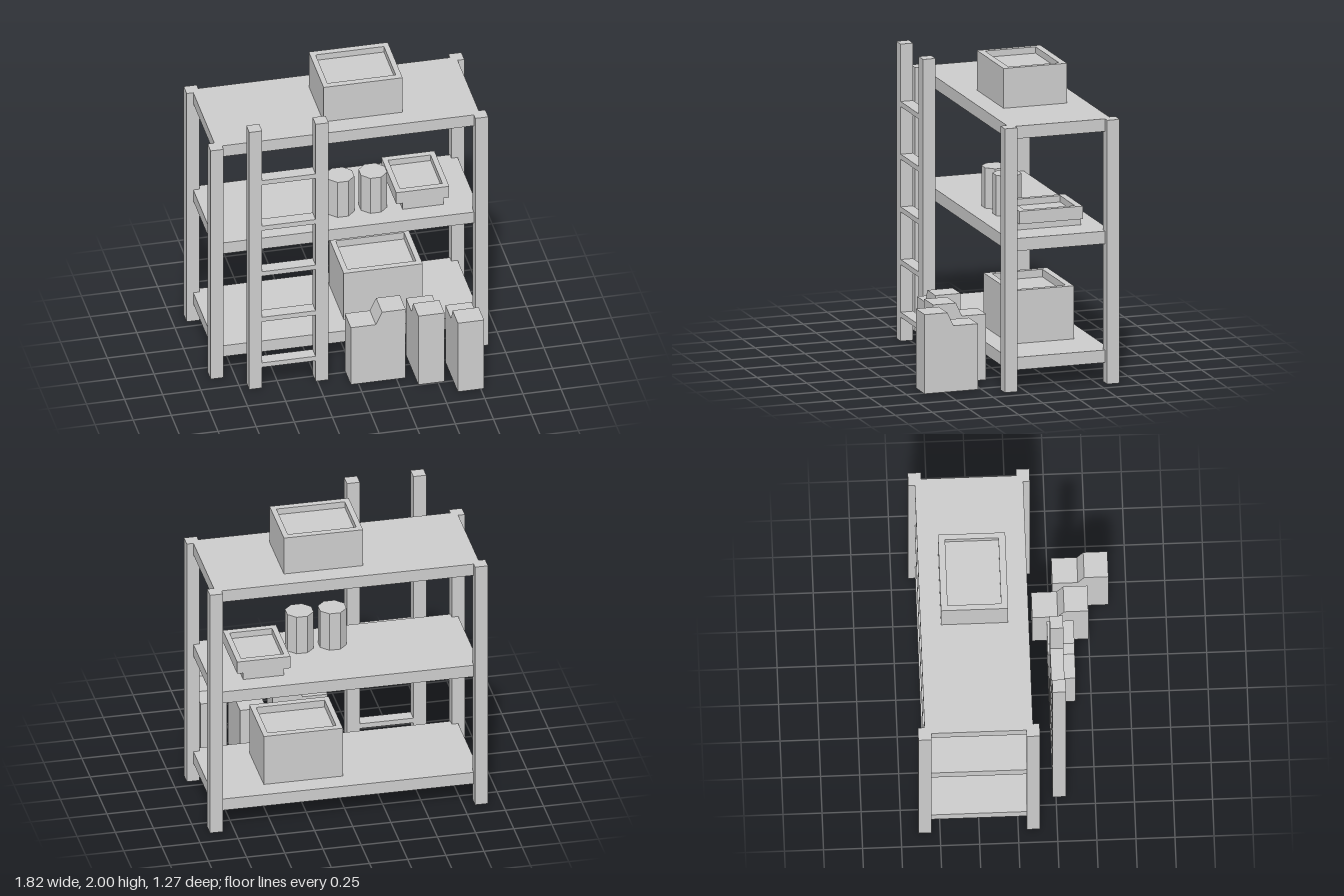
import * as THREE from 'three';

export function createModel() {
  const model = new THREE.Group();
  model.name = 'storageShelf';
  const grey = new THREE.MeshStandardMaterial({ color: 0xcccccc });
  grey.name = 'plain grey';

  function add(name, geometry, parent = model) {
    const mesh = new THREE.Mesh(geometry, grey);
    mesh.name = name;
    parent.add(mesh);
    return mesh;
  }

  // Box given by its lower and upper limits on each axis
  function block(name, [x0, x1], [y0, y1], [z0, z1], parent) {
    const mesh = add(name, new THREE.BoxGeometry(x1 - x0, y1 - y0, z1 - z0), parent);
    mesh.position.set((x0 + x1) / 2, (y0 + y1) / 2, (z0 + z1) / 2);
    return mesh;
  }

  function rectangle(Type, w, d) {
    return new Type([[-w, -d], [w, -d], [w, d], [-w, d]].map(([x, y]) => new THREE.Vector2(x / 2, y / 2)));
  }

  // Crate: solid lower body with a raised rim around a shallow recess
  function crate(name, [x0, x1], [y0, y1], [z0, z1], recess) {
    const group = new THREE.Group();
    group.name = name;
    model.add(group);
    block('crateBody', [x0, x1], [y0, y1 - recess], [z0, z1], group);
    const w = x1 - x0, d = z1 - z0;
    const outline = rectangle(THREE.Shape, w, d);
    outline.holes.push(rectangle(THREE.Path, w - 0.07, d - 0.088));
    const rim = add('crateRim', new THREE.ExtrudeGeometry(outline, { depth: recess, bevelEnabled: false }), group);
    rim.rotation.x = -Math.PI / 2;
    rim.position.set((x0 + x1) / 2, y1 - recess, (z0 + z1) / 2);
  }

  // Corner posts
  for (const side of [-1, 1]) {
    for (const z of [-0.597, 0.097]) {
      block('cornerPost', [side * 0.868 - 0.0425, side * 0.868 + 0.0425], [0, 1.738], [z - 0.0425, z + 0.0425]);
    }
  }

  // Shelves
  for (const top of [0.215, 0.998, 1.738]) {
    block('shelf', [-0.867, 0.867], [top - 0.083, top], [-0.597, 0.097]);
  }

  // Ladder leaning upright in front of the shelves
  const ladder = new THREE.Group();
  ladder.name = 'ladder';
  model.add(ladder);
  const ladderDepth = [0.228, 0.313];
  for (const x of [-0.654, -0.219]) {
    block('ladderRail', [x - 0.0425, x + 0.0425], [0, 1.957], ladderDepth, ladder);
  }
  for (let i = 0; i < 5; i++) {
    const y = 0.174 + i * 0.347;
    block('ladderRung', [-0.612, -0.261], [y - 0.017, y + 0.017], ladderDepth, ladder);
  }

  // Crates on the top and bottom shelves, tray on the middle shelf
  const crateDepth = [-0.465, -0.035];
  crate('topCrate', [-0.13, 0.388], [1.738, 2], crateDepth, 0.042);
  crate('bottomCrate', [0.002, 0.52], [0.215, 0.565], crateDepth, 0.05);
  crate('tray', [0.346, 0.694], [1.045, 1.13], crateDepth, 0.042);
  block('trayBase', [0.388, 0.655], [0.998, 1.045], crateDepth);

  // Eight-sided cans on the middle shelf
  for (const x of [-0.003, 0.212]) {
    const radius = 0.086 / Math.cos(Math.PI / 8);
    const geometry = new THREE.CylinderGeometry(radius, radius, 0.266, 8).toNonIndexed();
    geometry.rotateY(Math.PI / 8);
    geometry.computeVertexNormals();
    add('can', geometry).position.set(x, 1.131, -0.12);
  }

  // Floor canisters with a stepped, sloping top
  const profile = new THREE.Shape([
    [-0.18, 0], [0.18, 0], [0.18, 0.522], [0.025, 0.522], [-0.016, 0.433], [-0.18, 0.433],
  ].map(([x, y]) => new THREE.Vector2(x, y)));
  const canisterGeometry = new THREE.ExtrudeGeometry(profile, { depth: 0.172, bevelEnabled: false });
  canisterGeometry.translate(0, 0, -0.086);
  for (const [x, z, turn] of [[0.13, 0.314, 0], [0.457, 0.317, -Math.PI / 2], [0.685, 0.454, -Math.PI / 2]]) {
    const canister = add('canister', canisterGeometry);
    canister.position.set(x, 0, z);
    canister.rotation.y = turn;
  }

  return model;
}
